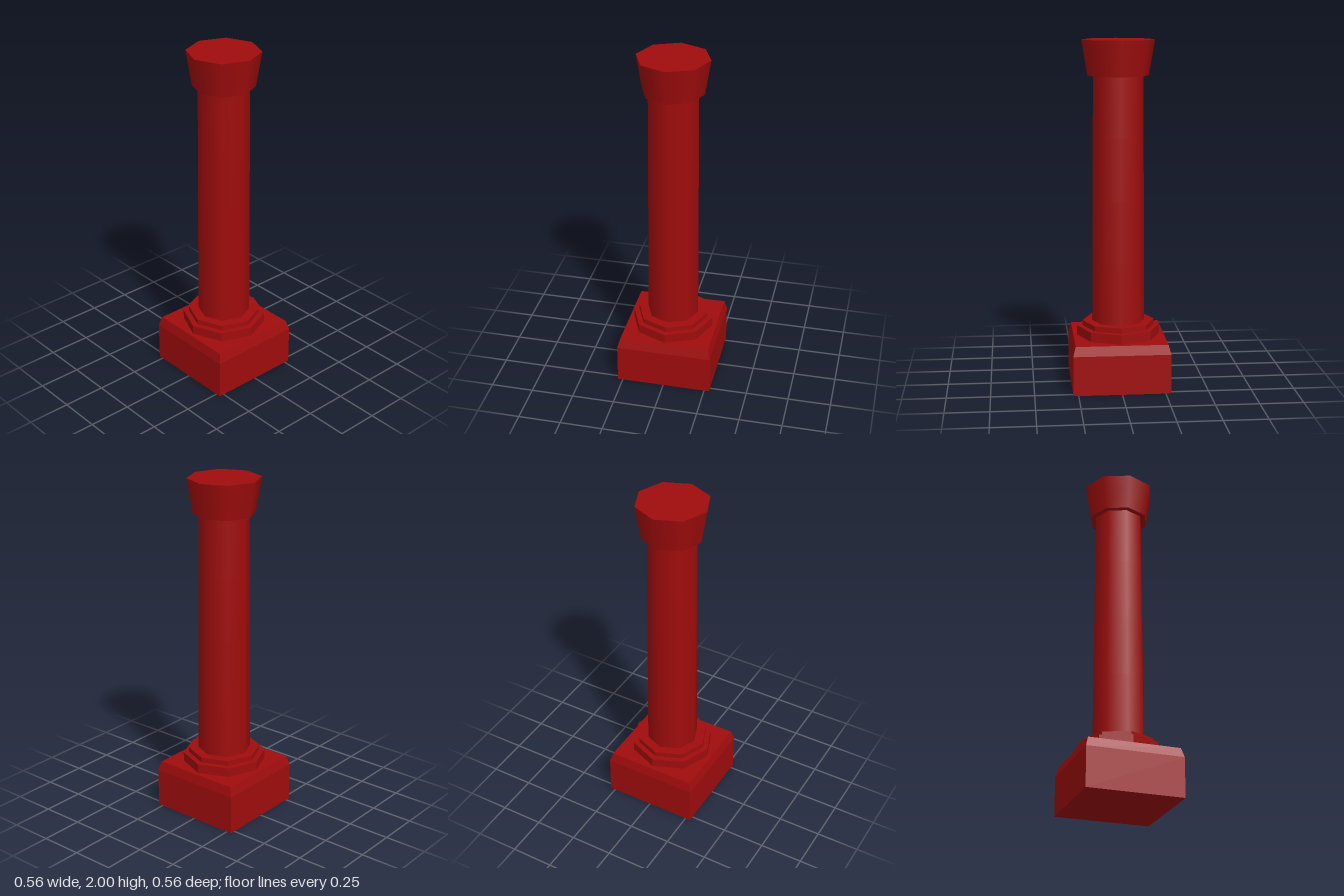
import * as THREE from 'three';

export function createModel() {
  const group = new THREE.Group();
  group.name = 'column';
  const red = new THREE.MeshStandardMaterial({ color: 0xa00c0c });
  const redFlat = new THREE.MeshStandardMaterial({ color: 0xa00c0c, flatShading: true });

  // Eight-sided drum with corners on the x and z axes
  function drum(name, rBottom, rTop, y0, y1, material, rings = 1) {
    const mesh = new THREE.Mesh(new THREE.CylinderGeometry(rTop, rBottom, y1 - y0, 8, rings), material);
    mesh.position.y = (y0 + y1) / 2;
    mesh.name = name;
    group.add(mesh);
  }

  // Square plinth: a block whose upper ring is pulled in to form the chamfer
  function block(name, halfBottom, halfTop, y0, y1) {
    const geometry = new THREE.CylinderGeometry(halfTop * Math.SQRT2, halfBottom * Math.SQRT2, y1 - y0, 4, 1, true);
    geometry.rotateY(Math.PI / 4);
    const mesh = new THREE.Mesh(geometry, redFlat);
    mesh.position.y = (y0 + y1) / 2;
    mesh.name = name;
    group.add(mesh);
  }
  block('plinthSides', 0.28, 0.28, 0, 0.23);
  block('plinthChamfer', 0.28, 0.265, 0.23, 0.285);
  for (const [name, half, y, tilt] of [['plinthTop', 0.265, 0.285, -1], ['plinthBottom', 0.28, 0, 1]]) {
    const face = new THREE.Mesh(new THREE.PlaneGeometry(2 * half, 2 * half), redFlat);
    face.rotation.x = tilt * Math.PI / 2;
    face.position.y = y;
    face.name = name;
    group.add(face);
  }

  // Stepped octagonal base mouldings
  drum('lowerMoulding', 0.243, 0.243, 0.285, 0.34, redFlat);
  drum('upperMoulding', 0.21, 0.21, 0.34, 0.37, redFlat);

  // Tapered shaft and flared capital
  drum('shaft', 0.153, 0.144, 0.37, 1.81, red, 4);
  drum('capital', 0.176, 0.209, 1.797, 2, red);

  return group;
}
